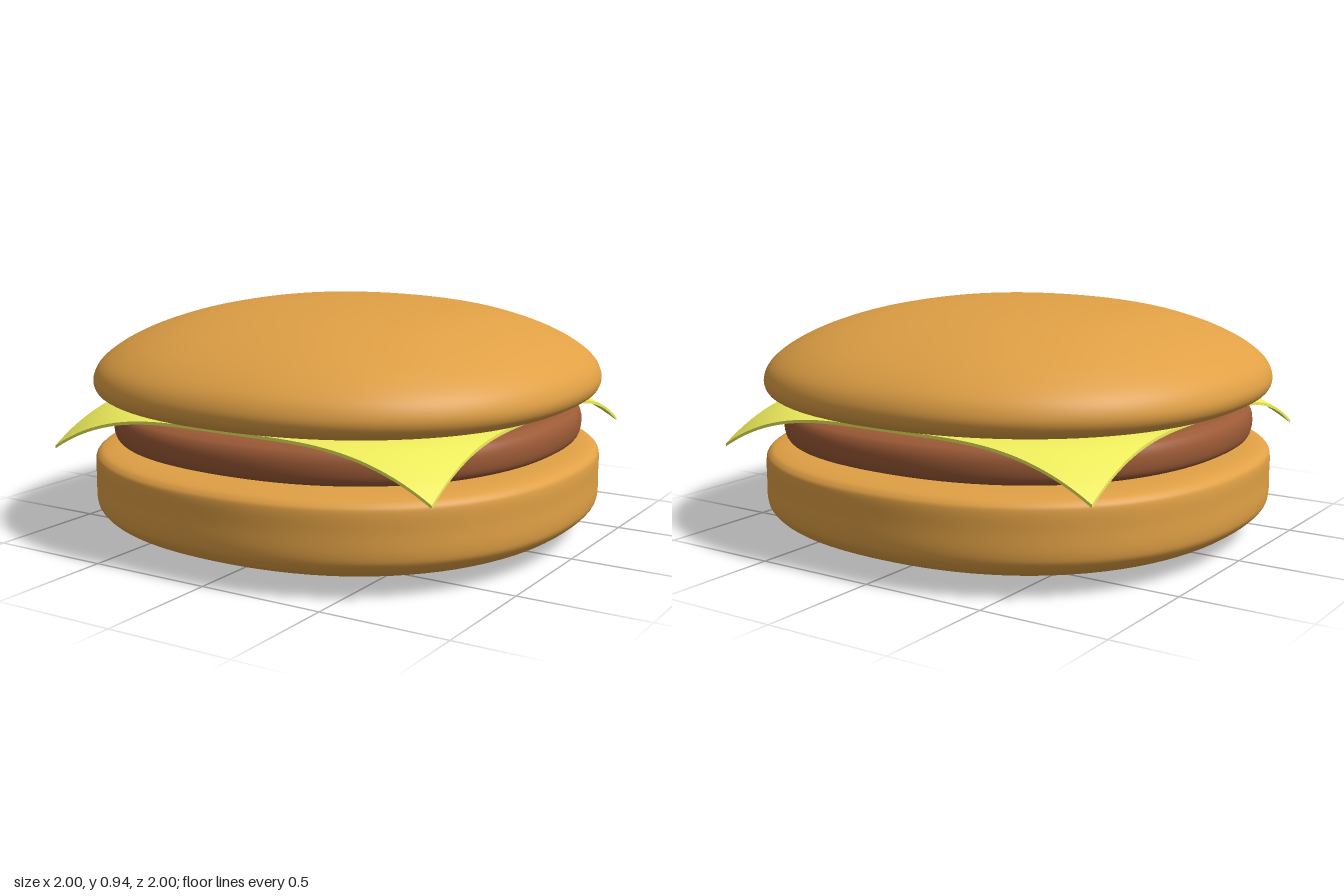
import * as THREE from 'three';
import { mergeVertices } from 'three/addons/utils/BufferGeometryUtils.js';

// Smooth turned layer whose outline is a slightly squared circle
function layer(name, color, profile) {
  const curve = new THREE.SplineCurve(profile.map(([r, y]) => new THREE.Vector2(r, y)));
  const points = curve.getPoints(56);
  points.forEach((p) => { p.x = Math.max(p.x, 0); });
  let geo = new THREE.LatheGeometry(points, 96);
  const pos = geo.attributes.position;
  const n = 2.24;
  for (let i = 0; i < pos.count; i++) {
    const x = pos.getX(i), z = pos.getZ(i);
    const r = Math.hypot(x, z);
    if (r < 1e-6) continue;
    const k = Math.pow(Math.pow(Math.abs(x / r), n) + Math.pow(Math.abs(z / r), n), -1 / n);
    pos.setXYZ(i, x * k, pos.getY(i), z * k);
  }
  geo.deleteAttribute('normal');
  geo.deleteAttribute('uv');
  geo = mergeVertices(geo, 1e-5);
  geo.computeVertexNormals();
  const mesh = new THREE.Mesh(geo, new THREE.MeshStandardMaterial({ color }));
  mesh.name = name;
  return mesh;
}

// Thin square slice, flat in the middle with drooping corners
function cheeseSlice() {
  const geo = new THREE.BoxGeometry(1.69, 0.012, 1.69, 48, 1, 48);
  const pos = geo.attributes.position;
  for (let i = 0; i < pos.count; i++) {
    const r = Math.hypot(pos.getX(i), pos.getZ(i));
    const t = Math.max(0, (r - 0.86) / 0.335);
    pos.setY(i, pos.getY(i) + 0.541 - 0.155 * Math.pow(t, 1.9));
  }
  geo.computeVertexNormals();
  const mesh = new THREE.Mesh(geo, new THREE.MeshStandardMaterial({ color: 0xf0ee5c }));
  mesh.name = 'cheeseSlice';
  return mesh;
}

export function createModel() {
  const group = new THREE.Group();
  group.name = 'cheeseburger';
  const bun = 0xe0a045;

  // Profiles run from the bottom centre to the top centre
  group.add(layer('bottomBun', bun, [
    [0, 0.005], [0.3, 0.01], [0.6, 0.024], [0.82, 0.048], [0.93, 0.082], [0.985, 0.125], [1, 0.17],
    [1, 0.25], [1, 0.32], [0.99, 0.348], [0.955, 0.366], [0.85, 0.375], [0.5, 0.378], [0, 0.378],
  ]));
  group.add(layer('patty', 0x9c5a36, [
    [0, 0.382], [0.5, 0.382], [0.82, 0.385], [0.89, 0.394], [0.918, 0.415], [0.927, 0.46],
    [0.92, 0.5], [0.895, 0.524], [0.83, 0.533], [0.5, 0.535], [0, 0.535],
  ]));
  group.add(cheeseSlice());
  group.add(layer('topBun', bun, [
    [0, 0.548], [0.5, 0.549], [0.8, 0.552], [0.91, 0.562], [0.97, 0.585], [0.995, 0.615], [0.998, 0.655],
    [0.975, 0.705], [0.92, 0.755], [0.84, 0.803], [0.73, 0.85], [0.58, 0.895], [0.4, 0.927],
    [0.2, 0.944], [0, 0.949],
  ]));
  return group;
}
